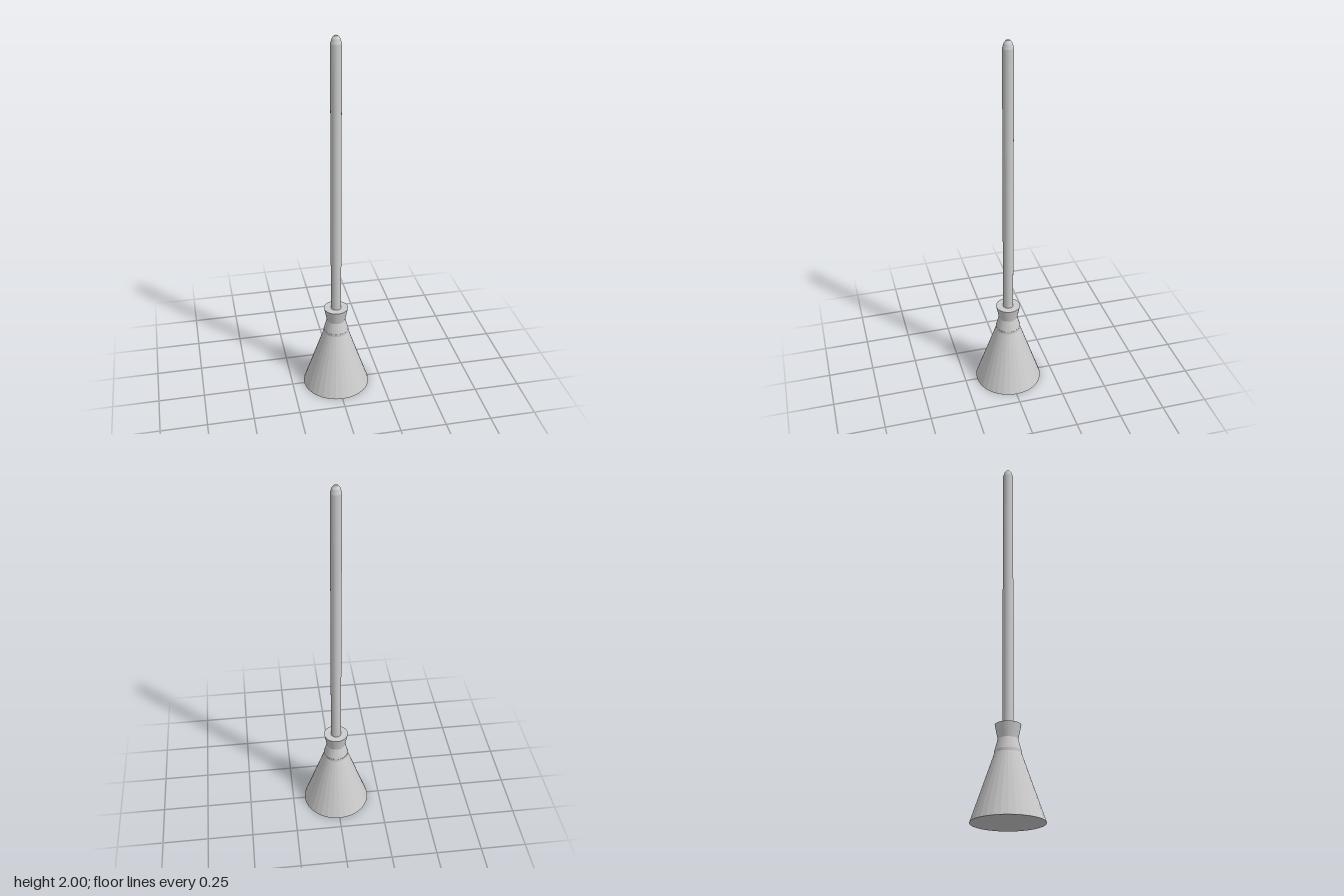
import * as THREE from 'three';

const SIDES = 32;

// Faceted solid of revolution; profile is [radius, height] from bottom to top
function turned(name, profile) {
  const points = profile.map(([r, y]) => new THREE.Vector2(r, y));
  const material = new THREE.MeshStandardMaterial({ color: 0xcccccc, flatShading: true });
  const mesh = new THREE.Mesh(new THREE.LatheGeometry(points, SIDES), material);
  mesh.name = name;
  return mesh;
}

export function createModel() {
  const model = new THREE.Group();
  model.name = 'rodOnConicalBase';

  // Wide cone with a closed underside and a short straight band at its top
  model.add(turned('conicalBase', [[0, 0], [0.184, 0], [0.068, 0.338], [0.068, 0.353], [0, 0.353]]));

  // Waisted collar that narrows, then flares to a flat top
  model.add(turned('collar', [[0, 0.353], [0.067, 0.353], [0.051, 0.412], [0.066, 0.487], [0, 0.487]]));

  // Long slender rod with a blunt tapered tip
  model.add(turned('rod', [[0, 0.48], [0.028, 0.48], [0.028, 1.962], [0.021, 1.985], [0.01, 2], [0, 2]]));

  return model;
}
